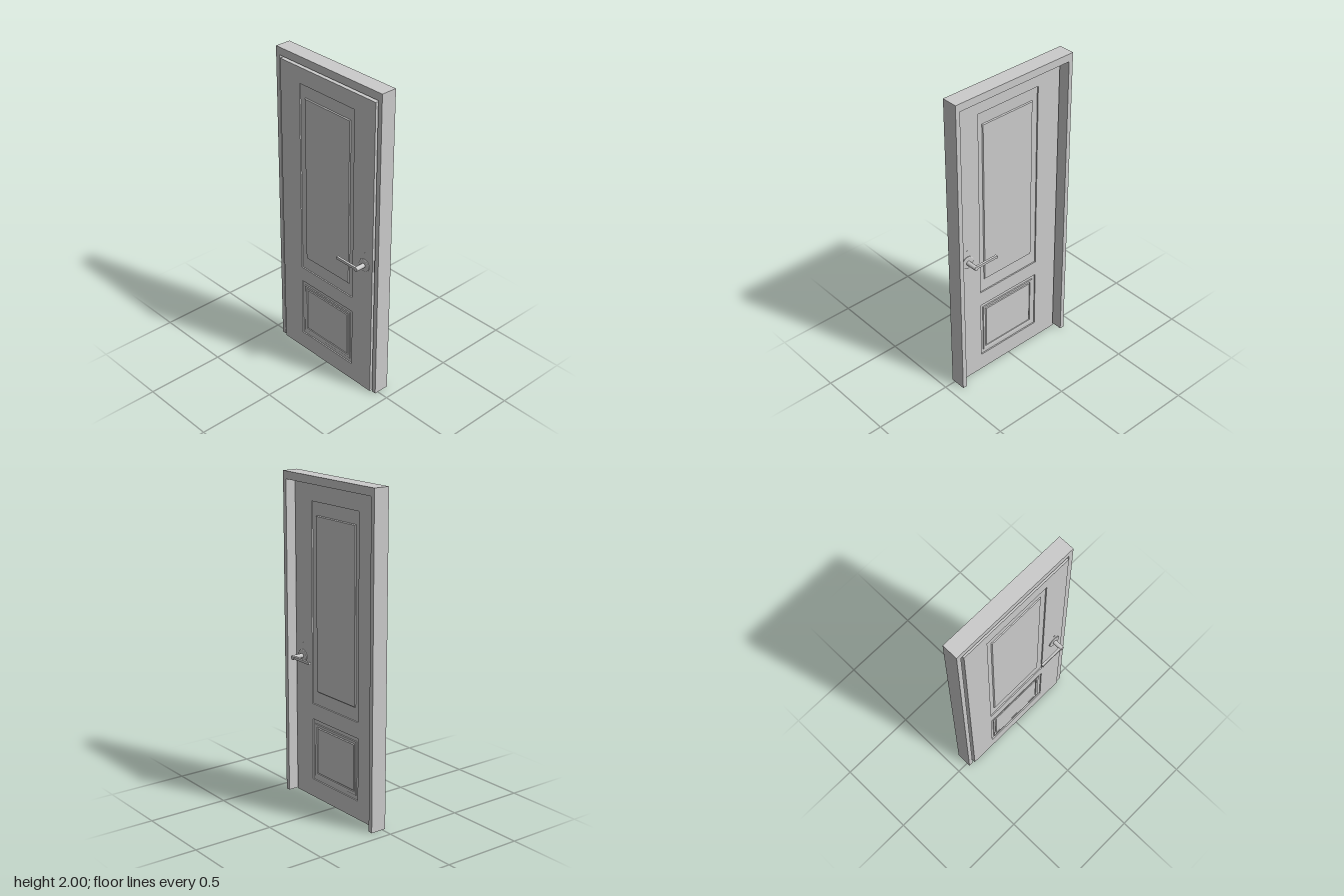
import * as THREE from 'three';

const grey = new THREE.MeshStandardMaterial({ color: 0xcccccc });

// Leaf faces and panel openings
const FRONT = 0.03, BACK = -0.02;
const PANELS = [
  { name: 'upperPanel', x: 0.002, y0: 0.605, y1: 1.84, w: 0.444 },
  { name: 'lowerPanel', x: 0.002, y0: 0.115, y1: 0.507, w: 0.444 },
];

function mesh(name, geometry, parent, x = 0, y = 0, z = 0) {
  const m = new THREE.Mesh(geometry, grey);
  m.name = name;
  m.position.set(x, y, z);
  parent.add(m);
  return m;
}

function polygon(points) {
  return new THREE.Shape(points.map(([x, y]) => new THREE.Vector2(x, y)));
}

function rectPoints(x0, x1, y0, y1) {
  return [[x0, y0], [x1, y0], [x1, y1], [x0, y1]];
}

// Nested rectangles joined into a moulded panel facing +z; steps are [insetX, insetY, z]
function mouldedPanel(w, h, steps) {
  const rings = steps.map(([ix, iy, z]) =>
    rectPoints(-w / 2 + ix, w / 2 - ix, -h / 2 + iy, h / 2 - iy).map(([x, y]) => [x, y, z]));
  const pos = [];
  const quad = (a, b, c, d) => pos.push(...a, ...b, ...c, ...a, ...c, ...d);
  for (let i = 0; i < rings.length - 1; i++) {
    for (let k = 0; k < 4; k++) {
      const n = (k + 1) % 4;
      quad(rings[i][k], rings[i][n], rings[i + 1][n], rings[i + 1][k]);
    }
  }
  quad(...rings[rings.length - 1]);
  const g = new THREE.BufferGeometry();
  g.setAttribute('position', new THREE.Float32BufferAttribute(pos, 3));
  g.computeVertexNormals();
  return g;
}

// Rosette, spindle and lever, built outwards along +z from the leaf face
function createHandle(name, length) {
  const handle = new THREE.Group();
  handle.name = name;

  const profile = [[0, 0], [0.041, 0], [0.041, 0.005], [0.038, 0.007], [0, 0.007]];
  const rosette = new THREE.LatheGeometry(profile.map(([r, y]) => new THREE.Vector2(r, y)), 32);
  mesh('rosette', rosette.toNonIndexed().rotateX(Math.PI / 2), handle).geometry.computeVertexNormals();

  const spindle = new THREE.CylinderGeometry(0.014, 0.014, length, 24).rotateX(Math.PI / 2);
  mesh('spindle', spindle, handle, 0, 0, length / 2);

  // Lever outline seen from above, with a slightly flared tip
  const z = length;
  const outline = polygon([
    [0, z - 0.018], [0, z - 0.003], [-0.155, z - 0.004], [-0.163, z - 0.001],
    [-0.163, z - 0.021], [-0.155, z - 0.018],
  ]);
  const lever = new THREE.ExtrudeGeometry(outline, { depth: 0.016, bevelEnabled: false });
  lever.rotateX(Math.PI / 2).scale(1, 1, 1);
  mesh('lever', lever, handle, 0, 0.008, 0);
  return handle;
}

export function createModel() {
  const model = new THREE.Group();
  model.name = 'door';

  // Frame: one upside-down U extruded through the wall depth
  const frame = polygon([
    [-0.425, 0], [-0.397, 0], [-0.397, 1.952], [0.396, 1.952],
    [0.396, 0], [0.425, 0], [0.425, 2], [-0.425, 2],
  ]);
  mesh('frame', new THREE.ExtrudeGeometry(frame, { depth: 0.1, bevelEnabled: false }), model, 0, 0, -0.078);

  // Leaf with two panel openings
  const leaf = new THREE.Group();
  leaf.name = 'leaf';
  model.add(leaf);
  const slab = polygon(rectPoints(-0.383, 0.386, 0, 1.94));
  for (const p of PANELS) {
    const hole = rectPoints(p.x - p.w / 2, p.x + p.w / 2, p.y0, p.y1).reverse();
    slab.holes.push(new THREE.Path(hole.map(([x, y]) => new THREE.Vector2(x, y))));
  }
  mesh('slab', new THREE.ExtrudeGeometry(slab, { depth: FRONT - BACK, bevelEnabled: false }), leaf, 0, 0, BACK);

  // Recessed mouldings with raised fields on both faces
  const upperSteps = [[0, 0, -0.008], [0.035, 0.08, -0.01], [0.04, 0.085, -0.004]];
  const lowerSteps = [[0, 0, -0.008], [0.02, 0.025, -0.008], [0.023, 0.028, -0.003],
    [0.038, 0.045, -0.005], [0.04, 0.047, -0.01], [0.046, 0.053, -0.004]];
  PANELS.forEach((p, i) => {
    const h = p.y1 - p.y0, y = (p.y0 + p.y1) / 2;
    const geometry = mouldedPanel(p.w, h, i === 0 ? upperSteps : lowerSteps);
    mesh(p.name + 'Front', geometry, leaf, p.x, y, FRONT);
    mesh(p.name + 'Back', geometry, leaf, p.x, y, BACK).rotation.y = Math.PI;
  });

  // Latch plate on the lock edge
  mesh('latchPlate', new THREE.BoxGeometry(0.004, 0.08, 0.024), leaf, 0.388, 0.9, 0.005);

  // Lever handles on both faces
  const frontHandle = createHandle('frontHandle', 0.1 - FRONT);
  frontHandle.position.set(0.32, 0.885, FRONT);
  const backHandle = createHandle('backHandle', 0.1 + BACK);
  backHandle.position.set(0.32, 0.885, BACK);
  backHandle.rotation.x = Math.PI;
  model.add(frontHandle, backHandle);

  // Small lock pin through the leaf above the handles
  const pin = new THREE.CylinderGeometry(0.006, 0.006, FRONT - BACK + 0.003, 16).rotateX(Math.PI / 2);
  mesh('lockPin', pin, leaf, 0.32, 0.965, (FRONT + BACK) / 2);

  return model;
}
